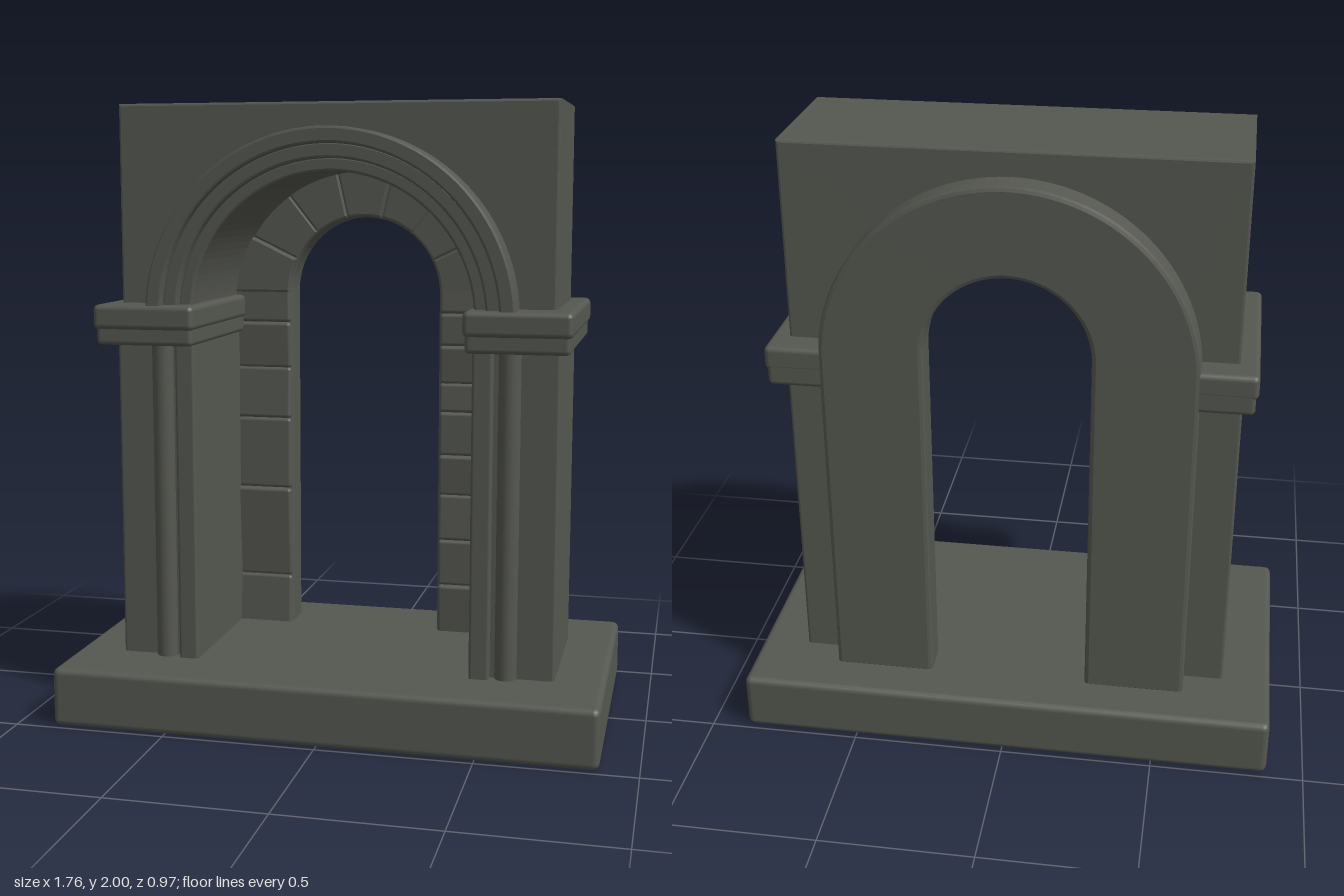
import * as THREE from 'three';
import { RoundedBoxGeometry } from 'three/addons/geometries/RoundedBoxGeometry.js';

export function createModel() {
  const group = new THREE.Group();
  const stone = new THREE.MeshStandardMaterial({ color: 0x555750 });
  stone.name = 'darkStone';

  const FLOOR = 0.18, SPRING = 1.33;

  function add(name, geometry) {
    const mesh = new THREE.Mesh(geometry, stone);
    mesh.name = name;
    group.add(mesh);
    return mesh;
  }

  // Rounded block given by its extents
  function block(name, x0, x1, y0, y1, z0, z1, r = 0.01) {
    const mesh = add(name, new RoundedBoxGeometry(x1 - x0, y1 - y0, z1 - z0, 2, r));
    mesh.position.set((x0 + x1) / 2, (y0 + y1) / 2, (z0 + z1) / 2);
    return mesh;
  }

  // Shape extruded between two depths, bevel kept inside the outline
  function slab(name, shape, z0, z1, b = 0.008) {
    const g = new THREE.ExtrudeGeometry(shape, {
      depth: z1 - z0 - 2 * b, curveSegments: 28,
      bevelEnabled: true, bevelThickness: b, bevelSize: b, bevelOffset: -b, bevelSegments: 2,
    });
    return add(name, g.translate(0, 0, z0 + b));
  }

  // Cuts the arched opening into the underside of an outline
  function opening(shape, r, centre) {
    shape.lineTo(-r, FLOOR);
    shape.lineTo(-r, centre);
    shape.absarc(0, centre, r, Math.PI, 0, true);
    shape.lineTo(r, FLOOR);
    shape.closePath();
    return shape;
  }

  // Plinth
  block('plinth', -0.88, 0.88, 0, 0.193, -0.487, 0.487, 0.022);

  // Main wall with its tall arched passage
  const wall = new THREE.Shape();
  wall.moveTo(0.705, FLOOR);
  wall.lineTo(0.705, 2);
  wall.lineTo(-0.705, 2);
  wall.lineTo(-0.705, FLOOR);
  slab('wall', opening(wall, 0.46, SPRING), -0.245, 0.242);

  // Narrower arch standing at the back
  const rear = new THREE.Shape();
  rear.moveTo(0.59, FLOOR);
  rear.lineTo(0.59, SPRING);
  rear.absarc(0, SPRING, 0.59, 0, Math.PI, false);
  rear.lineTo(-0.59, FLOOR);
  slab('rearArch', opening(rear, 0.26, 1.375), -0.342, -0.225, 0.014);

  // Stepped mouldings around the front of the arch
  [[0.54, 0.592, 0.342], [0.495, 0.545, 0.312], [0.455, 0.5, 0.28]].forEach(([ri, ro, z]) => {
    const ring = new THREE.Shape();
    ring.absarc(0, SPRING, ro, 0, Math.PI, false);
    ring.absarc(0, SPRING, ri, Math.PI, 0, true);
    ring.closePath();
    slab('archMoulding', ring, 0.2, z);
  });

  // Piers, mirrored on both sides
  for (const s of [-1, 1]) {
    const side = (name, a, b, ...rest) =>
      block(name, Math.min(s * a, s * b), Math.max(s * a, s * b), ...rest);
    side('pier', 0.45, 0.72, FLOOR, 1.25, -0.25, 0.25);
    side('pierStrip', 0.45, 0.515, FLOOR, 1.25, 0.2, 0.282);
    const roll = add('pierRoll', new THREE.CylinderGeometry(0.036, 0.036, 1.07, 16));
    roll.position.set(s * 0.565, 0.715, 0.247);

    // Impost with a thin projecting upper band
    side('impost', 0.435, 0.757, 1.235, 1.36, -0.337, 0.343, 0.015);
    side('impostBand', 0.428, 0.765, 1.285, 1.365, -0.338, 0.353, 0.018);

    // Uneven stones facing the passage
    const joints = s > 0
      ? [FLOOR, 0.36, 0.52, 0.68, 0.82, 0.97, 1.07, 1.2, 1.31, 1.4]
      : [FLOOR, 0.36, 0.68, 0.93, 1.11, 1.27, 1.4];
    for (let i = 0; i < joints.length - 1; i++) {
      const m = side('jambStone', 0.264, 0.48, joints[i], joints[i + 1], -0.26, -0.212, 0.012);
      m.rotation.x = 0.07 * Math.sin(i * 2.1 + s);
    }
  }

  // Wedge stones over the passage
  const n = 7;
  for (let i = 0; i < n; i++) {
    const a0 = (i / n) * Math.PI, a1 = ((i + 1) / n) * Math.PI;
    const wedge = new THREE.Shape();
    wedge.absarc(0, 1.375, 0.264, a0, a1, false);
    wedge.absarc(0, 1.375, 0.48, a1, a0, true);
    wedge.closePath();
    slab('wedgeStone', wedge, -0.26, -0.214 + 0.008 * Math.sin(i * 2.3), 0.008);
  }

  return group;
}
